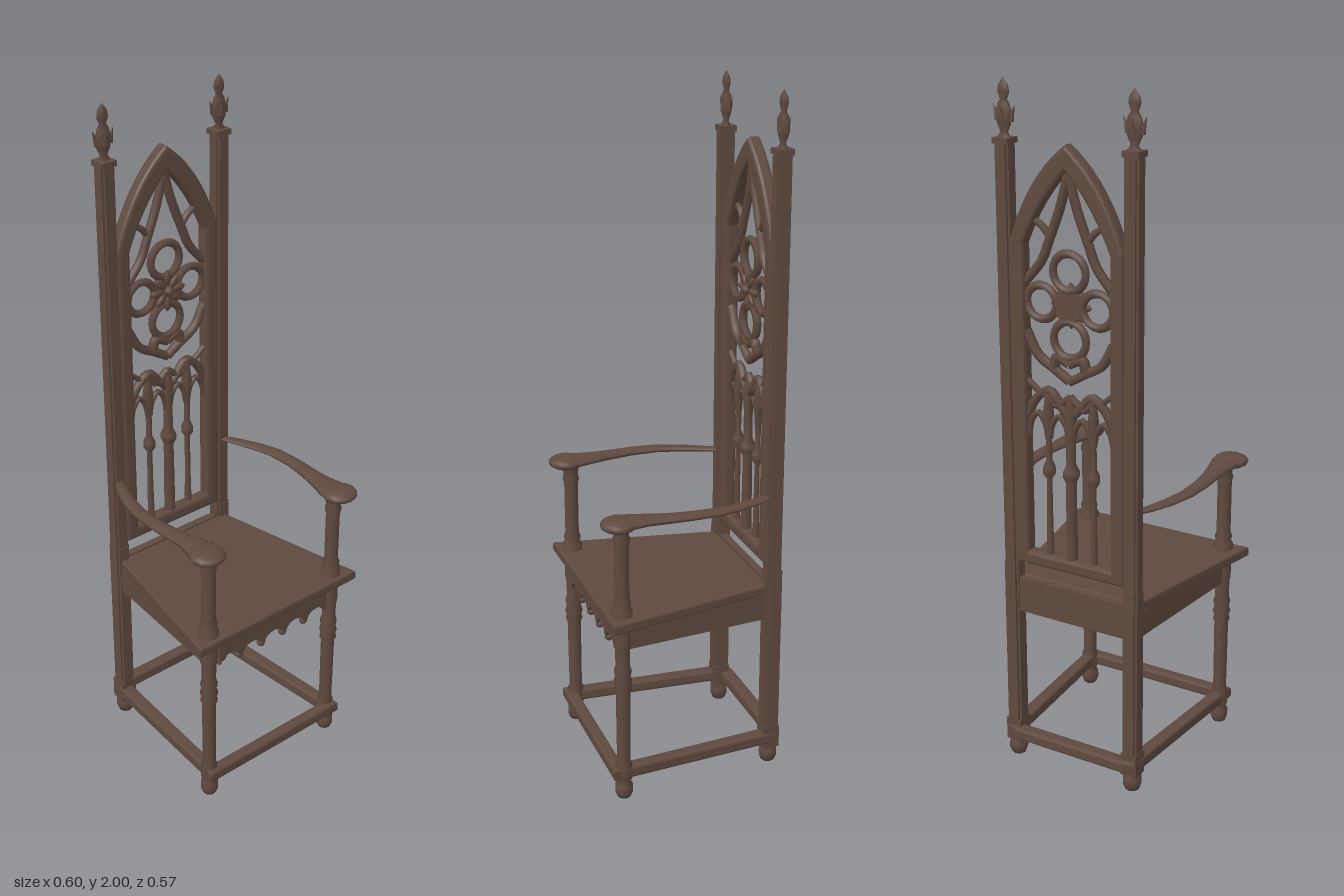
import * as THREE from 'three';

const wood = new THREE.MeshStandardMaterial({ color: 0x5f493f });
wood.name = 'dark walnut';

function add(parent, name, geo, x = 0, y = 0, z = 0) {
  const m = new THREE.Mesh(geo, wood);
  m.name = name;
  m.position.set(x, y, z);
  parent.add(m);
  return m;
}
const box = (w, h, d) => new THREE.BoxGeometry(w, h, d);
const lathe = (pts, n = 12) =>
  new THREE.LatheGeometry(pts.map(([r, y]) => new THREE.Vector2(r, y)), n);
const polygon = pts => new THREE.Shape(pts.map(([x, y]) => new THREE.Vector2(x, y)));

// Extrusion with softened edges that keeps the outline size
function slab(shape, depth, bevel) {
  return new THREE.ExtrudeGeometry(shape, {
    depth: depth - 2 * bevel, bevelThickness: bevel, bevelSize: bevel,
    bevelOffset: -bevel, bevelSegments: 2, curveSegments: 10,
  }).translate(0, 0, bevel);
}
// Horizontal slab from an outline drawn in (x, -z)
const flatSlab = (shape, depth, bevel) => slab(shape, depth, bevel).rotateX(-Math.PI / 2);

// Carved rib following points in the plane of the back
function rib(parent, name, pts, r = 0.011) {
  const curve = new THREE.CatmullRomCurve3(pts.map(([x, y]) => new THREE.Vector3(x, y, 0)));
  add(parent, name, new THREE.TubeGeometry(curve, 14, r, 6), 0, 0, -0.25);
}

function pointedArch(s, hw, bottom, spring, cx, cy, apex) {
  s.moveTo(-hw, bottom);
  s.lineTo(hw, bottom);
  s.lineTo(hw, spring);
  s.quadraticCurveTo(cx, cy, 0, apex);
  s.quadraticCurveTo(-cx, cy, -hw, spring);
  s.closePath();
  return s;
}

function buildBack(g) {
  // Pointed frame
  const frame = pointedArch(new THREE.Shape(), 0.176, 0.64, 1.58, 0.12, 1.757, 1.845);
  frame.holes.push(pointedArch(new THREE.Path(), 0.134, 0.682, 1.57, 0.085, 1.69, 1.775));
  add(g, 'backFrame', slab(frame, 0.042, 0.01), 0, 0, -0.271);

  // Quatrefoil rings with a central rosette
  for (const [x, y, r] of [[0, 1.507, 0.051], [0, 1.322, 0.051], [0.088, 1.415, 0.047], [-0.088, 1.415, 0.047]])
    add(g, 'quatrefoilRing', new THREE.TorusGeometry(r, 0.012, 6, 20), x, y, -0.25);
  add(g, 'rosetteDisc', new THREE.CylinderGeometry(0.046, 0.046, 0.02, 12).rotateX(Math.PI / 2), 0, 1.415, -0.25);
  for (let i = 0; i < 8; i++) {
    const a = i * Math.PI / 4, r = i % 2 ? 0.034 : 0.04;
    const petal = add(g, 'rosettePetal', new THREE.SphereGeometry(1, 8, 6), r * Math.cos(a), 1.415 + r * Math.sin(a), -0.242);
    petal.scale.set(0.024, 0.011, 0.01);
    petal.rotation.z = a;
  }
  add(g, 'rosetteBoss', new THREE.SphereGeometry(0.015, 8, 6), 0, 1.415, -0.236);

  for (const s of [-1, 1]) {
    // Upper branches
    rib(g, 'upperBranch', [[0, 1.77], [s * 0.025, 1.68], [s * 0.06, 1.59], [s * 0.085, 1.53], [s * 0.135, 1.47]], 0.013);
    rib(g, 'upperTwig', [[s * 0.058, 1.595], [s * 0.085, 1.625], [s * 0.115, 1.64]], 0.01);
    // Cradle below the quatrefoil
    rib(g, 'cradle', [[s * 0.138, 1.33], [s * 0.1, 1.265], [s * 0.05, 1.235], [0, 1.205]], 0.014);
    rib(g, 'cradleWeb', [[s * 0.05, 1.24], [s * 0.04, 1.27], [0, 1.255]], 0.015);
    // Cusped double arches
    rib(g, 'largeArch', [[s * 0.138, 1.09], [s * 0.11, 1.14], [s * 0.068, 1.17], [s * 0.03, 1.13], [0, 1.1]], 0.013);
    rib(g, 'archCusp', [[s * 0.095, 1.16], [s * 0.068, 1.155], [s * 0.045, 1.13], [0, 1.16]], 0.011);
    rib(g, 'archLink', [[s * 0.138, 1.19], [s * 0.1, 1.16]], 0.009);
    // Slender lancets
    for (const cx of [0.037, 0.105])
      rib(g, 'lancetArch', [[s * (cx - 0.032), 1.03], [s * (cx - 0.022), 1.075], [s * cx, 1.1], [s * (cx + 0.022), 1.075], [s * (cx + 0.032), 1.03]], 0.009);
    add(g, 'sideColumn', lathe([[0.011, 0.67], [0.009, 0.78], [0.008, 0.91], [0.018, 0.925], [0.018, 0.945], [0.009, 0.965], [0.009, 1.04], [0.016, 1.1], [0.009, 1.16]], 8), s * 0.072, 0, -0.25);
  }
  add(g, 'centreColumn', lathe([[0.017, 0.67], [0.015, 0.91], [0.024, 0.93], [0.024, 0.945], [0.014, 0.965], [0.014, 1.05], [0.018, 1.11], [0.008, 1.17]], 8), 0, 0, -0.25);
}

function buildPost(g, s) {
  const x = s * 0.197, z = -0.249;
  // Grooved shaft made of two crossed bars
  add(g, 'backPost', box(0.044, 1.81, 0.03), x, 0.94, z);
  add(g, 'backPost', box(0.03, 1.81, 0.044), x, 0.94, z);
  add(g, 'lowerPost', box(0.047, 0.53, 0.034), x, 0.365, z);
  add(g, 'lowerPost', box(0.034, 0.53, 0.05), x, 0.365, z);
  add(g, 'postCap', box(0.049, 0.016, 0.048), x, 1.838, z);
  add(g, 'postBlock', box(0.05, 0.07, 0.05), x, 0.085, z);
  add(g, 'backFoot', lathe([[0, 0], [0.021, 0], [0.028, 0.018], [0.028, 0.036], [0.02, 0.053]], 8), x, 0, z);
  // Leafy finial, flattened front to back
  const finial = new THREE.Group();
  finial.name = 'finial';
  finial.position.set(x, 1.845, z);
  finial.scale.z = 0.55;
  g.add(finial);
  add(finial, 'finialBud', lathe([[0.02, 0], [0.012, 0.015], [0.022, 0.035], [0.027, 0.06], [0.02, 0.085], [0.011, 0.098], [0.019, 0.118], [0.016, 0.135], [0, 0.155]], 8));
  for (let i = 0; i < 4; i++) {
    const a = i * Math.PI / 2;
    const leaf = add(finial, 'finialLeaf', new THREE.ConeGeometry(0.012, 0.045, 5), 0.027 * Math.cos(a), 0.066, 0.027 * Math.sin(a));
    leaf.rotation.set(0.35 * Math.sin(a), 0, -0.35 * Math.cos(a));
  }
}

function buildArm(g, s) {
  // Sweeping arm rest: z, x, half width, y, half height
  const rows = [
    [-0.245, 0.193, 0.014, 0.861, 0.006], [-0.2, 0.217, 0.018, 0.861, 0.007],
    [-0.13, 0.243, 0.021, 0.863, 0.009], [-0.06, 0.26, 0.022, 0.865, 0.01],
    [0.02, 0.262, 0.023, 0.866, 0.011], [0.09, 0.256, 0.026, 0.866, 0.012],
    [0.15, 0.248, 0.032, 0.867, 0.014], [0.2, 0.245, 0.044, 0.867, 0.016], [0.24, 0.247, 0.05, 0.866, 0.018],
  ];
  const n = rows.length - 1;
  const geo = new THREE.CylinderGeometry(1, 1, 1, 10, n);
  const p = geo.attributes.position;
  for (let i = 0; i < p.count; i++) {
    const [z, x, w, y, h] = rows[Math.round((p.getY(i) + 0.5) * n)];
    p.setXYZ(i, s * x + p.getX(i) * w, y - p.getZ(i) * h, z);
  }
  geo.computeVertexNormals();
  add(g, 'armRest', geo);
  add(g, 'armKnob', new THREE.SphereGeometry(1, 12, 8), s * 0.248, 0.866, 0.234).scale.set(0.053, 0.02, 0.051);
  add(g, 'armPost', lathe([[0.03, 0.58], [0.03, 0.6], [0.023, 0.612], [0.026, 0.625], [0.021, 0.64], [0.021, 0.8], [0.025, 0.815], [0.021, 0.83], [0.026, 0.855]]), s * 0.236, 0, 0.222);
}

function buildFrontLeg(g, s) {
  add(g, 'frontLeg', lathe([
    [0, 0], [0.02, 0], [0.026, 0.015], [0.026, 0.038], [0.018, 0.05], [0.025, 0.06], [0.025, 0.105], [0.02, 0.115],
    [0.021, 0.34], [0.026, 0.35], [0.022, 0.362], [0.027, 0.377], [0.022, 0.392], [0.026, 0.41], [0.021, 0.425],
    [0.022, 0.48], [0.025, 0.49], [0.025, 0.56],
  ]), s * 0.236, 0, 0.222);
}

function buildSeat(g) {
  // Tapering seat board
  const seat = polygon([[-0.3, -0.265], [0.3, -0.265], [0.205, 0.235], [-0.205, 0.235]]);
  add(g, 'seat', flatSlab(seat, 0.03, 0.006), 0, 0.556, 0);

  // Side and back aprons
  for (const s of [-1, 1]) {
    const side = add(g, 'sideApron', box(0.022, 0.078, 0.45), s * 0.216, 0.518, -0.015);
    side.rotation.y = s * 0.085;
  }
  add(g, 'backApron', box(0.36, 0.105, 0.024), 0, 0.533, -0.25);

  // Scalloped front apron with pendants
  const w = 0.084, half = w * 2.5, front = new THREE.Shape();
  front.moveTo(half, 0.558);
  front.lineTo(-half, 0.558);
  front.lineTo(-half, 0.47);
  for (let i = 0; i < 5; i++) {
    const x = -half + i * w;
    front.lineTo(x + 0.008, 0.47);
    front.absellipse(x + w / 2, 0.47, w / 2 - 0.008, 0.024, Math.PI, 0, true);
    front.lineTo(x + w, 0.47);
    if (i < 4) add(g, 'apronPendant', new THREE.SphereGeometry(0.013, 8, 6), x + w, 0.466, 0.226);
  }
  front.closePath();
  add(g, 'frontApron', slab(front, 0.024, 0.002), 0, 0, 0.214);
}

function buildStretchers(g) {
  // One tapering ring of rails around the legs
  const ring = polygon([[-0.258, -0.258], [0.258, -0.258], [0.222, 0.272], [0.188, 0.29], [-0.188, 0.29], [-0.222, 0.272]]);
  ring.holes.push(polygon([[-0.217, -0.222], [-0.182, 0.25], [0.182, 0.25], [0.217, -0.222]]));
  add(g, 'stretcherRails', flatSlab(ring, 0.036, 0.007), 0, 0.064, 0);
}

export function createModel() {
  const g = new THREE.Group();
  g.name = 'gothicArmchair';
  buildBack(g);
  for (const s of [-1, 1]) {
    buildPost(g, s);
    buildArm(g, s);
    buildFrontLeg(g, s);
  }
  buildSeat(g);
  buildStretchers(g);
  return g;
}
